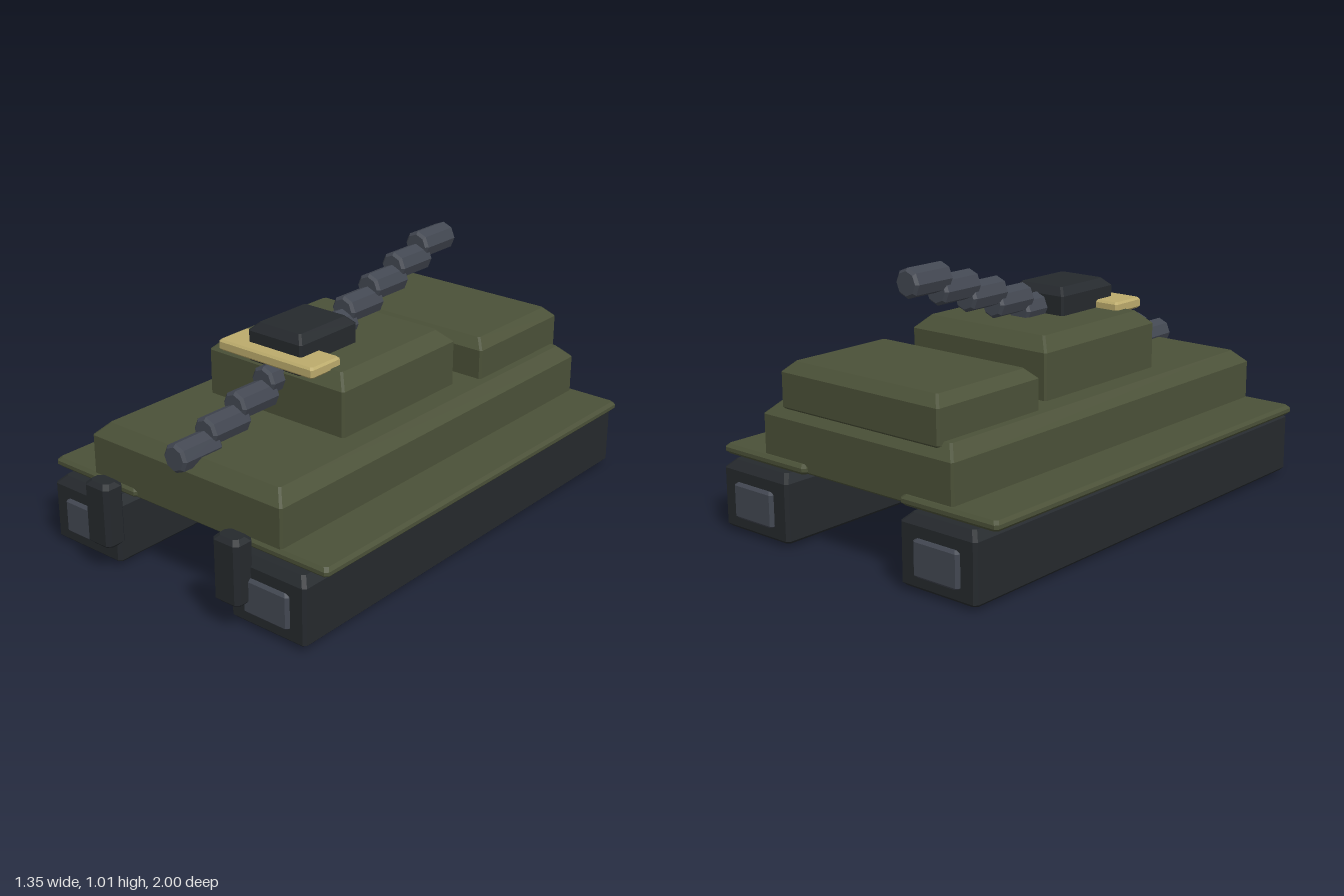
import * as THREE from 'three';
import { ConvexGeometry } from 'three/addons/geometries/ConvexGeometry.js';

const paint = (color) => new THREE.MeshStandardMaterial({ color, flatShading: true });

// Box given by its extents, with a wide chamfer round the top and a fine one on all other edges.
function chamferBox([x0, x1], [y0, y1], [z0, z1], top, edge = 0.008) {
  const points = [];
  const ring = (y, inset) => {
    const a = x0 + inset, b = x1 - inset, c = z0 + inset, d = z1 - inset, e = edge;
    for (const [x, z] of [[a + e, c], [b - e, c], [b, c + e], [b, d - e], [b - e, d], [a + e, d], [a, d - e], [a, c + e]])
      points.push(new THREE.Vector3(x, y, z));
  };
  ring(y0, edge);
  ring(y0 + edge, 0);
  ring(y1 - top, 0);
  ring(y1, top);
  return new ConvexGeometry(points);
}

export function createModel() {
  const model = new THREE.Group();
  model.name = 'tank';
  const olive = paint(0x4b5138);
  const dark = paint(0x25292d);
  const steel = paint(0x434852);
  const brass = paint(0xbcab6c);

  const add = (name, geometry, material, parent = model) => {
    const mesh = new THREE.Mesh(geometry, material);
    mesh.name = name;
    parent.add(mesh);
    return mesh;
  };

  // Body
  add('hull', chamferBox([-0.465, 0.465], [0.275, 0.51], [-0.92, 0.87], 0.048), olive);
  add('engineDeck', chamferBox([-0.385, 0.385], [0.49, 0.665], [-0.9, -0.375], 0.038), olive);
  add('turret', chamferBox([-0.33, 0.33], [0.49, 0.737], [-0.275, 0.387], 0.05), olive);
  add('hatch', chamferBox([-0.13, 0.13], [0.69, 0.842], [0.07, 0.385], 0.03), dark);
  add('sightPlate', chamferBox([-0.23, 0.23], [0.725, 0.768], [0.28, 0.44], 0.008), brass);

  // Running gear, one set per side
  for (const [side, s] of [['left', 1], ['right', -1]]) {
    const gear = new THREE.Group();
    gear.name = side + 'RunningGear';
    const span = (a, b) => (s > 0 ? [a, b] : [-b, -a]);
    add('fender', chamferBox(span(0.235, 0.673), [0.274, 0.312], [-0.94, 0.88], 0.012, 0.012), olive, gear);
    add('track', chamferBox(span(0.28, 0.622), [0.014, 0.272], [-0.985, 0.933], 0.03, 0.012), dark, gear);
    add('frontBumper', chamferBox(span(0.26, 0.38), [0.1, 0.356], [0.91, 1], 0.016, 0.016), dark, gear);
    // Inset end panels and the small pads under each end
    for (const [end, z0, z1, pad] of [['front', 0.9, 0.947, 0.84], ['rear', -1, -0.95, -0.89]]) {
      add(end + 'Panel', chamferBox(span(0.35, 0.555), [0.062, 0.2], [z0, z1], 0.01, 0.01), steel, gear);
      add(end + 'Pad', chamferBox(span(0.35, 0.555), [0, 0.03], [pad - 0.022, pad + 0.022], 0.004, 0.012), dark, gear);
    }
    model.add(gear);
  }

  // Barrel: a rising stair of short eight-sided segments
  const barrel = new THREE.Group();
  barrel.name = 'barrel';
  const profile = [[0, -0.096], [0.045, -0.096], [0.056, -0.085], [0.056, 0.085], [0.045, 0.096], [0, 0.096]]
    .map(([r, y]) => new THREE.Vector2(r, y));
  const segment = new THREE.LatheGeometry(profile, 8).rotateX(Math.PI / 2);
  for (let i = 0; i < 10; i++) {
    const mesh = add('barrelSegment', segment, steel, barrel);
    mesh.position.set(0, 0.517 + i * 0.0488, 0.81 - i * 0.151);
  }
  model.add(barrel);

  return model;
}
